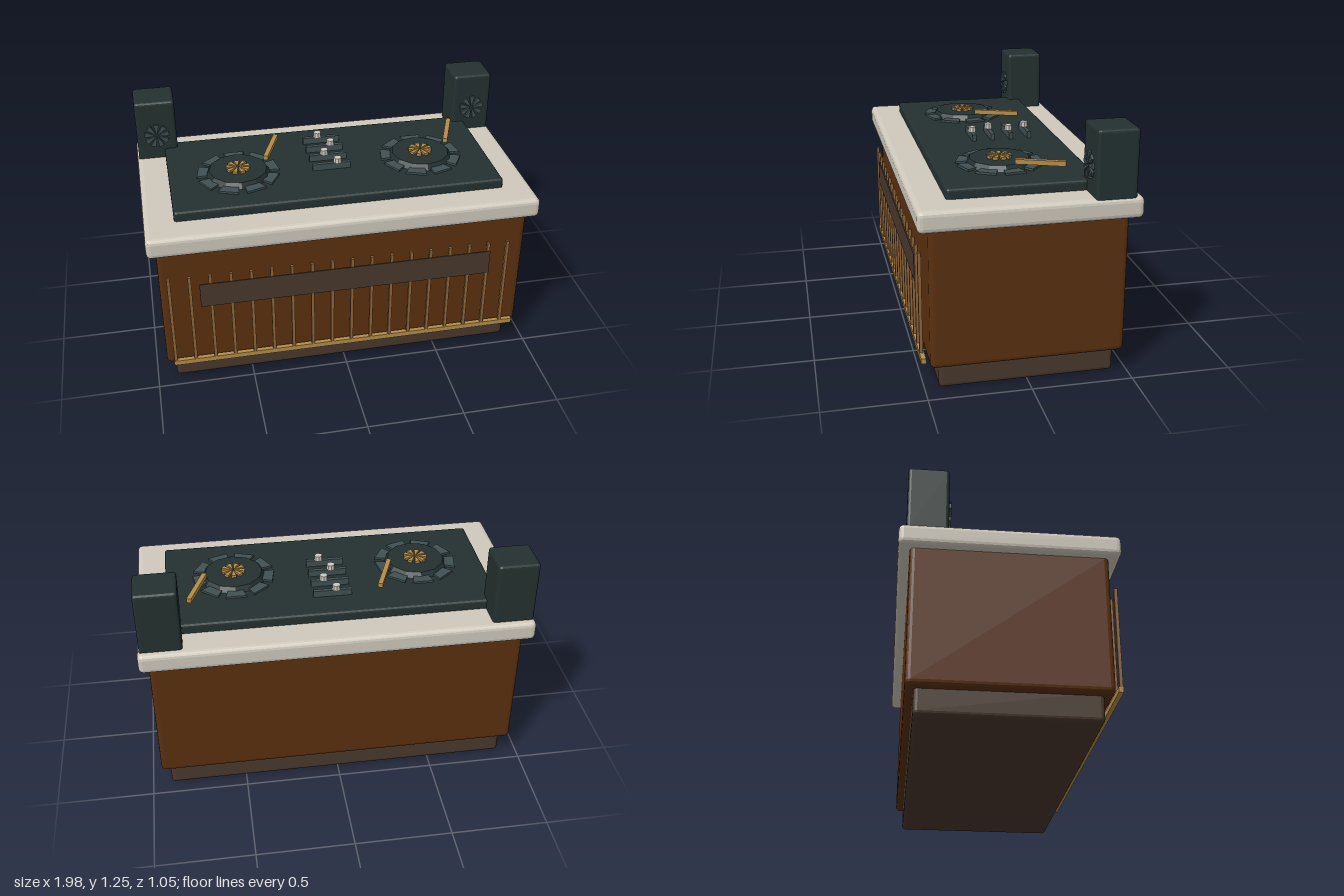
import * as THREE from 'three';
import { mergeGeometries } from 'three/addons/utils/BufferGeometryUtils.js';
import { RoundedBoxGeometry } from 'three/addons/geometries/RoundedBoxGeometry.js';

function mat(name, color) {
  const m = new THREE.MeshStandardMaterial({ color, flatShading: true });
  m.name = name;
  return m;
}

// Box given by its low and high corner, with optionally softened edges
function box(name, material, lo, hi, radius = 0) {
  const s = lo.map((v, i) => hi[i] - v);
  const g = radius ? new RoundedBoxGeometry(...s, 2, radius) : new THREE.BoxGeometry(...s);
  const mesh = new THREE.Mesh(g, material);
  mesh.name = name;
  mesh.position.set(...lo.map((v, i) => (v + hi[i]) / 2));
  return mesh;
}

// Ring of separate wedges facing +z
function wedges(name, material, count, r0, r1, fill, depth) {
  const parts = [];
  const half = (Math.PI / count) * fill;
  for (let i = 0; i < count; i++) {
    const a = (i / count) * Math.PI * 2 + Math.PI / 2;
    const p = (r, t) => new THREE.Vector2(r * Math.cos(t), r * Math.sin(t));
    const shape = new THREE.Shape([p(r0, a - half), p(r1, a - half), p(r1, a + half), p(r0, a + half)]);
    parts.push(new THREE.ExtrudeGeometry(shape, { depth, bevelEnabled: false }));
  }
  const mesh = new THREE.Mesh(mergeGeometries(parts), material);
  mesh.name = name;
  return mesh;
}

export function createModel() {
  const booth = new THREE.Group();
  booth.name = 'djBooth';

  const wood = mat('brown wood', 0x5a300f);
  const dark = mat('dark brown', 0x49382c);
  const tan = mat('tan slat', 0x8f6539);
  const cream = mat('cream stone', 0xd0cabd);
  const black = mat('dark teal', 0x233130);
  const slate = mat('slate', 0x405052);
  const gold = mat('gold', 0xb58c49);
  const knobGrey = mat('pale knob', 0xccc8c2);

  // Counter body
  booth.add(
    box('plinth', dark, [-0.9, 0, -0.43], [0.9, 0.16, 0.43], 0.02),
    box('body', wood, [-0.945, 0.125, -0.47], [0.945, 0.84, 0.475], 0.025),
    box('countertop', cream, [-0.99, 0.82, -0.525], [0.99, 0.925, 0.53], 0.025),
    box('deck', black, [-0.84, 0.91, -0.36], [0.84, 0.975, 0.375], 0.015),
  );

  // Slatted front with foot rail and sign board
  for (let i = 0; i < 18; i++) {
    const x = -0.9 + i * 0.1025;
    booth.add(box('slat', tan, [x - 0.008, 0.15, 0.498], [x + 0.008, 0.68, 0.514]));
  }
  booth.add(
    box('footRail', gold, [-0.91, 0.143, 0.492], [0.91, 0.17, 0.516]),
    box('frontPanel', dark, [-0.75, 0.5, 0.511], [0.75, 0.635, 0.518]),
  );

  for (const side of [-1, 1]) {
    // Loudspeaker with a radial cone
    const speaker = new THREE.Group();
    speaker.name = 'speaker';
    speaker.add(box('cabinet', black, [-0.105, 0.9, -0.49], [0.105, 1.25, -0.29], 0.016));
    const cone = wedges('cone', slate, 9, 0.012, 0.066, 0.62, 0.012);
    cone.position.set(0, 1.06, -0.29);
    speaker.add(cone);
    speaker.position.x = side * 0.875;
    booth.add(speaker);

    // Turntable: platter blocks, record, label and tonearm
    const table = new THREE.Group();
    table.name = 'turntable';
    const platter = wedges('platter', slate, 9, 0.14, 0.215, 0.72, 0.012);
    platter.rotation.x = -Math.PI / 2;
    platter.position.y = 0.974;
    const record = new THREE.Mesh(new THREE.CylinderGeometry(0.15, 0.17, 0.03, 12), black);
    record.name = 'record';
    record.position.y = 0.989;
    const label = wedges('label', gold, 9, 0.01, 0.062, 0.62, 0.014);
    label.rotation.x = -Math.PI / 2;
    label.position.y = 1.003;
    const arm = box('tonearm', gold, [-0.0125, 1.012, -0.122], [0.0125, 1.036, 0.122]);
    arm.position.x = 0.195;
    arm.position.z = -0.158;
    arm.rotation.y = -0.37;
    table.add(platter, record, label, arm);
    table.position.set(side * 0.485, 0, 0.05);
    booth.add(table);
  }

  // Mixer faders in the middle
  for (let i = 0; i < 4; i++) {
    const z = -0.2 + i * 0.098;
    const x = i % 2 ? 0.03 : -0.022;
    booth.add(box('faderTrack', slate, [-0.102, 0.972, z - 0.01], [0.096, 1.01, z + 0.01]));
    const knob = new THREE.Mesh(new THREE.CylinderGeometry(0.02, 0.022, 0.028, 8), knobGrey);
    knob.name = 'faderKnob';
    knob.position.set(x, 1.023, z);
    booth.add(knob);
  }

  return booth;
}
